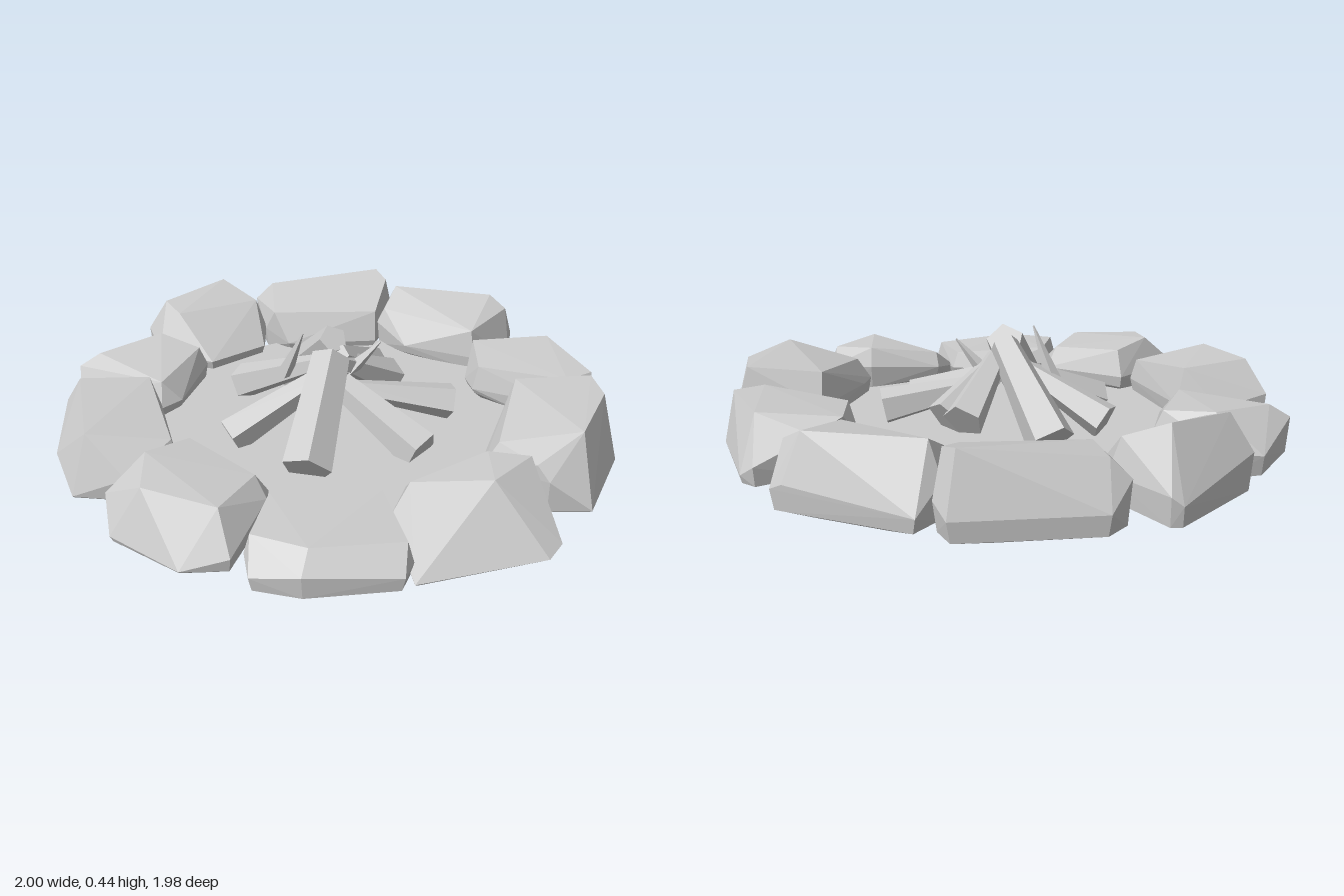
import * as THREE from 'three';
import { ConvexGeometry } from 'three/addons/geometries/ConvexGeometry.js';

const grey = new THREE.MeshStandardMaterial({ color: 0xcccccc, flatShading: true });
grey.name = 'stone grey';

// Faceted stone: girth and top are corners [x, z, y], seen from above.
function stone(girth, top) {
  const n = girth.length;
  const cx = girth.reduce((s, p) => s + p[0], 0) / n;
  const cz = girth.reduce((s, p) => s + p[1], 0) / n;
  const points = [...girth, ...top].map(([x, z, y]) => new THREE.Vector3(x, y, z));
  const ringAt = (x, z, y, scale) =>
    points.push(new THREE.Vector3(cx + (x - cx) * scale, y, cz + (z - cz) * scale));
  girth.forEach(([x, z], i) => {
    // Lower edge, rising towards the middle of the ring
    ringAt(x, z, 0.05 + 0.28 * Math.max(0, 0.8 - Math.hypot(x, z)), 0.96);
    // Small keel under the stone
    if (i % 2 === 0) ringAt(x, z, 0.012, 0.5);
  });
  const mesh = new THREE.Mesh(new ConvexGeometry(points), grey);
  mesh.name = 'ringStone';
  return mesh;
}

// Tapered, angular piece of wood from the outer end a to the inner end b.
function wood(name, a, b, rOuter, rInner, sides = 5) {
  const start = new THREE.Vector3(...a);
  const dir = new THREE.Vector3(...b).sub(start);
  const geo = new THREE.CylinderGeometry(rInner, rOuter, dir.length(), sides);
  const mesh = new THREE.Mesh(geo, grey);
  mesh.position.copy(start).addScaledVector(dir, 0.5);
  mesh.quaternion.setFromUnitVectors(new THREE.Vector3(0, 1, 0), dir.normalize());
  mesh.name = name;
  return mesh;
}

export function createModel() {
  const model = new THREE.Group();
  model.name = 'campfire';

  // Ash bed, a thin sheet inside the ring
  const bed = new THREE.Mesh(new THREE.CylinderGeometry(0.7, 0.7, 0.004, 20), grey);
  bed.position.y = 0.093;
  bed.name = 'ashBed';
  model.add(bed);

  // Ring of stones, clockwise from the back
  const ring = new THREE.Group();
  ring.name = 'stoneRing';
  ring.add(stone(
    [[-0.35, -0.88, 0.2], [-0.28, -0.96, 0.12], [0.2, -0.99, 0.12], [0.24, -0.9, 0.15], [0.16, -0.62, 0.12], [-0.2, -0.59, 0.12], [-0.3, -0.68, 0.15]],
    [[-0.28, -0.88, 0.27], [0.17, -0.92, 0.32], [0.21, -0.85, 0.3], [0.16, -0.65, 0.24], [-0.26, -0.64, 0.24]]));
  ring.add(stone(
    [[0.29, -0.92, 0.1], [0.7, -0.73, 0.14], [0.74, -0.71, 0.12], [0.72, -0.58, 0.07], [0.55, -0.42, 0.14], [0.28, -0.53, 0.14], [0.17, -0.68, 0.18], [0.21, -0.82, 0.18]],
    [[0.25, -0.78, 0.3], [0.64, -0.69, 0.3], [0.7, -0.64, 0.26], [0.54, -0.44, 0.25], [0.2, -0.68, 0.24]]));
  ring.add(stone(
    [[0.63, -0.45, 0.2], [0.82, -0.53, 0.12], [0.87, -0.49, 0.08], [0.99, -0.1, 0.06], [0.98, -0.02, 0.06], [0.83, -0.01, 0.15], [0.52, -0.16, 0.14], [0.5, -0.25, 0.14]],
    [[0.54, -0.38, 0.24], [0.83, -0.38, 0.26], [0.95, -0.09, 0.25], [0.85, -0.03, 0.25], [0.54, -0.17, 0.23]]));
  ring.add(stone(
    [[0.65, -0.02, 0.16], [0.97, 0, 0.12], [1, 0.2, 0.05], [0.85, 0.54, 0.06], [0.7, 0.54, 0.17], [0.5, 0.39, 0.15], [0.52, 0.3, 0.15]],
    [[0.65, 0.02, 0.28], [0.92, 0.03, 0.3], [0.94, 0.17, 0.3], [0.82, 0.43, 0.3], [0.55, 0.38, 0.23], [0.66, 0.51, 0.22]]));
  ring.add(stone(
    [[0.65, 0.43, 0.19], [0.72, 0.72, 0.06], [0.67, 0.79, 0.05], [0.24, 0.93, 0.06], [0.17, 0.67, 0.12], [0.23, 0.53, 0.15], [0.5, 0.43, 0.18]],
    [[0.24, 0.58, 0.2], [0.5, 0.66, 0.26], [0.64, 0.5, 0.25], [0.5, 0.47, 0.25]]));
  ring.add(stone(
    [[-0.22, 0.61, 0.14], [0, 0.55, 0.13], [0.17, 0.59, 0.13], [0.24, 0.87, 0.1], [0.21, 0.95, 0.1], [-0.1, 0.99, 0.13], [-0.26, 0.95, 0.1], [-0.28, 0.85, 0.12]],
    [[-0.21, 0.64, 0.2], [0.15, 0.61, 0.19], [0.22, 0.86, 0.17], [-0.08, 0.92, 0.19], [-0.26, 0.85, 0.19]]));
  ring.add(stone(
    [[-0.5, 0.34, 0.15], [-0.22, 0.54, 0.14], [-0.22, 0.62, 0.16], [-0.32, 0.86, 0.1], [-0.48, 0.87, 0.06], [-0.72, 0.7, 0.07], [-0.75, 0.57, 0.15]],
    [[-0.62, 0.51, 0.27], [-0.49, 0.39, 0.25], [-0.26, 0.57, 0.22], [-0.36, 0.77, 0.23], [-0.61, 0.69, 0.25]]));
  ring.add(stone(
    [[-0.8, -0.05, 0.14], [-0.65, -0.02, 0.15], [-0.54, 0.36, 0.14], [-0.7, 0.48, 0.14], [-0.89, 0.46, 0.06], [-1, 0.2, 0.07], [-0.99, 0, 0.18]],
    [[-0.92, 0.06, 0.3], [-0.68, 0.01, 0.28], [-0.56, 0.35, 0.22], [-0.84, 0.4, 0.27]]));
  ring.add(stone(
    [[-0.71, -0.53, 0.14], [-0.51, -0.33, 0.16], [-0.58, -0.07, 0.14], [-0.65, -0.02, 0.13], [-0.99, -0.2, 0.08], [-1, -0.27, 0.18], [-0.85, -0.5, 0.12]],
    [[-0.7, -0.42, 0.25], [-0.92, -0.28, 0.23], [-0.65, -0.06, 0.22], [-0.54, -0.33, 0.23]]));
  ring.add(stone(
    [[-0.46, -0.91, 0.15], [-0.3, -0.7, 0.15], [-0.3, -0.55, 0.13], [-0.5, -0.4, 0.13], [-0.72, -0.48, 0.14], [-0.78, -0.62, 0.18], [-0.5, -0.91, 0.12]],
    [[-0.7, -0.6, 0.31], [-0.48, -0.77, 0.335], [-0.34, -0.7, 0.27], [-0.64, -0.54, 0.28]]));
  model.add(ring);

  // Stacked firewood leaning on the middle: outer end, inner end, radii
  const pile = new THREE.Group();
  pile.name = 'firewood';
  const logs = [
    [[-0.1, 0.13, 0.4], [-0.02, 0.38, 0.05], 0.09, 0.07],
    [[-0.38, 0.12, 0.16], [-0.02, 0.3, 0], 0.07, 0.04],
    [[-0.36, 0.15, -0.2], [-0.04, 0.33, -0.02], 0.07, 0.03],
    [[-0.16, 0.12, -0.32], [-0.01, 0.4, -0.06], 0.09, 0.055],
    [[0.14, 0.18, -0.27], [0.01, 0.35, -0.03], 0.075, 0.04],
    [[0.2, 0.17, -0.2], [0.02, 0.33, -0.02], 0.075, 0.035],
    [[0.425, 0.16, -0.03], [0.02, 0.24, 0.01], 0.07, 0.03],
    [[0.3, 0.11, 0.25], [0.02, 0.26, 0.03], 0.08, 0.05],
  ];
  for (const [a, b, r0, r1] of logs) pile.add(wood('log', a, b, r0, r1));
  // Broken splinters standing up from the pile
  pile.add(wood('splinter', [-0.19, 0.26, -0.06], [-0.12, 0.45, 0], 0.03, 0.003, 4));
  pile.add(wood('splinter', [0.05, 0.28, -0.04], [0.16, 0.41, -0.02], 0.03, 0.003, 4));
  model.add(pile);

  return model;
}
